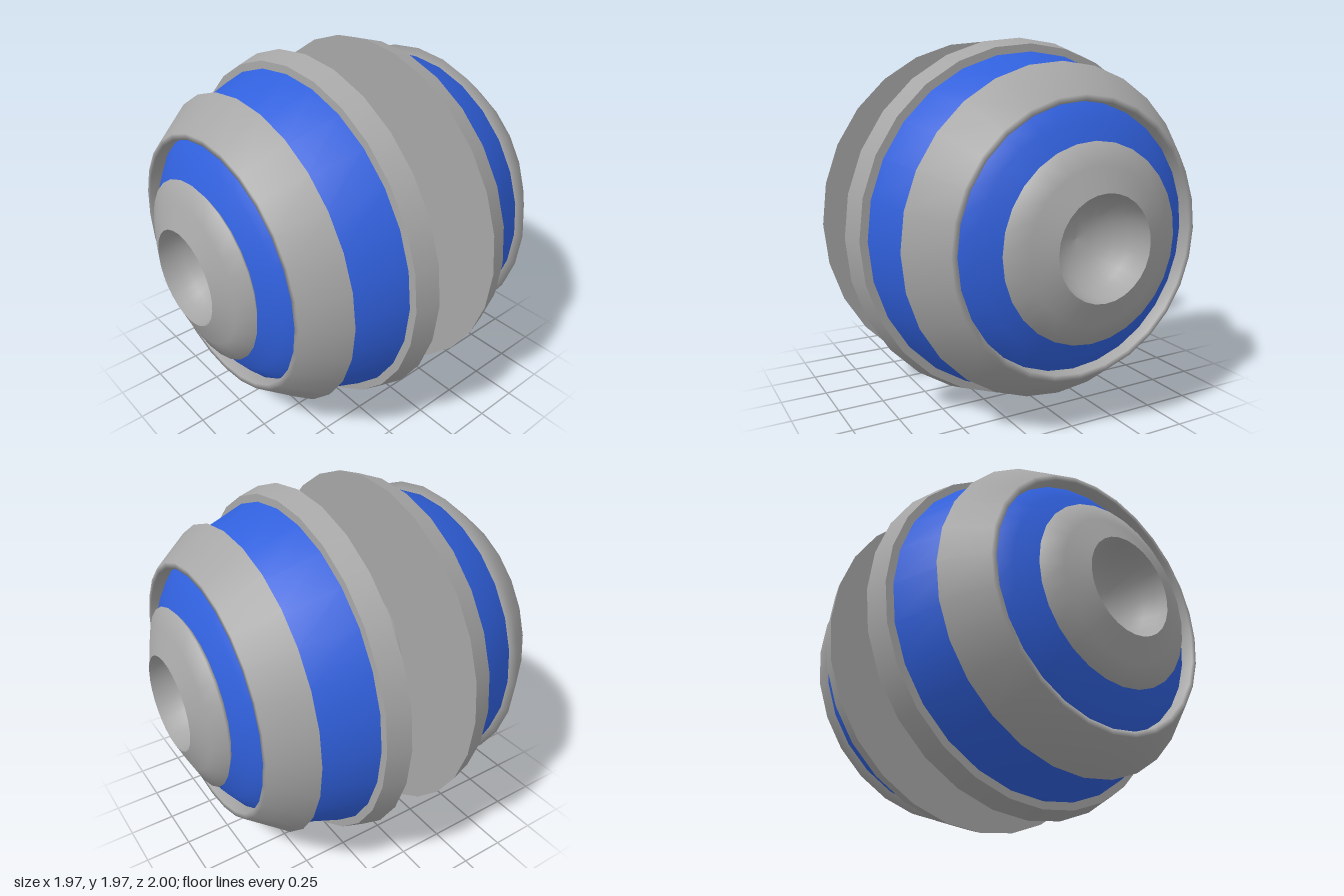
import * as THREE from 'three';

const SIDES = 28;

export function createModel() {
  const grey = new THREE.MeshStandardMaterial({ color: 0xa6a6a6 });
  grey.name = 'grey';
  const blue = new THREE.MeshStandardMaterial({ color: 0x3060dc });
  blue.name = 'blue';

  // Turned part: profile of [radius, z], listed from the gap outwards
  const turned = (name, material, profile) => {
    const points = profile.map(([r, z]) => new THREE.Vector2(r, z));
    const geometry = new THREE.LatheGeometry(points, SIDES).rotateX(Math.PI / 2);
    const mesh = new THREE.Mesh(geometry, material);
    mesh.name = name;
    return mesh;
  };

  // Round bowl sunk into the end cap
  const bowl = [];
  for (let i = 0; i <= 6; i++) {
    const a = (i / 6) * Math.PI / 2;
    bowl.push([0.26 * Math.cos(a), 1 - 0.25 * Math.sin(a)]);
  }

  const createHalf = (name) => {
    const half = new THREE.Group();
    half.name = name;
    half.add(
      turned('innerFace', grey, [[0, 0.2], [0.985, 0.2]]),
      turned('rimBand', grey, [[0.985, 0.2], [0.95, 0.32]]),
      turned('rimStep', grey, [[0.95, 0.32], [0.9, 0.322]]),
      turned('shell', blue, [[0.91, 0.32], [0.81, 0.6], [0.67, 0.75], [0.58, 0.82], [0.44, 0.875]]),
      turned('middleRing', grey, [[0.805, 0.6], [0.855, 0.615], [0.7, 0.82], [0.67, 0.82], [0.67, 0.74]]),
      turned('endRing', grey, [[0.44, 0.865], [0.49, 0.9], [0.38, 0.95], [0.26, 1]]),
      turned('endBowl', grey, bowl)
    );
    return half;
  };

  const model = new THREE.Group();
  model.name = 'bandedSpool';

  const front = createHalf('frontHalf');
  const back = createHalf('backHalf');
  back.rotation.y = Math.PI;

  // Axle joining the halves
  const axle = turned('axle', grey, [[0.4, -0.2], [0.4, 0.2]]);

  model.add(front, back, axle);
  model.children.forEach((part) => { part.position.y = 0.985; });
  return model;
}
